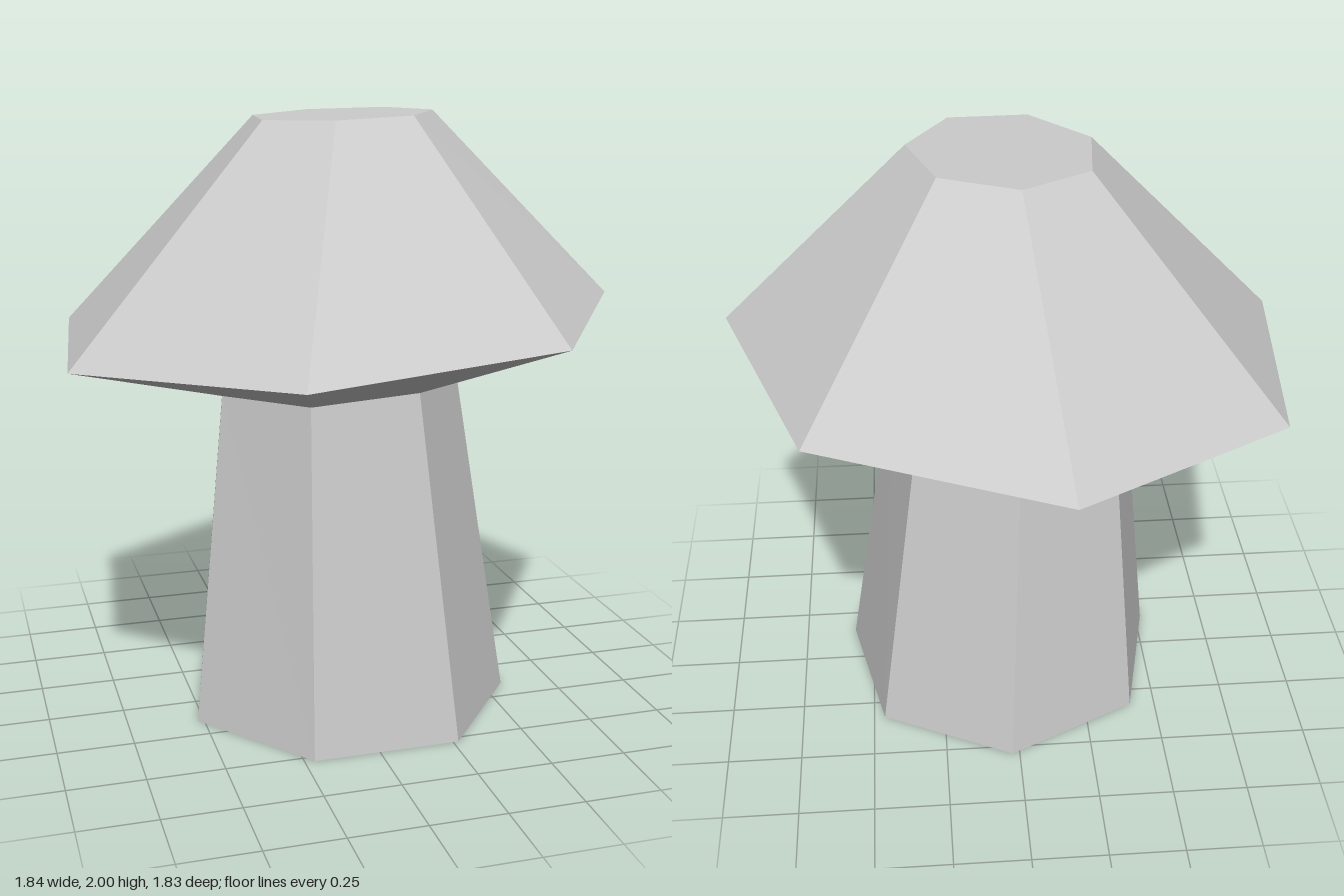
import * as THREE from 'three';

const SIDES = 7;

// Seven-sided rings: centre, radius, turn in degrees, and tilt (height gained per unit of x and z)
const foot = { x: 0.025, y: 0, z: 0.025, r: 0.56, turn: 12.86, tiltX: 0, tiltZ: 0 };
const neck = { x: -0.012, y: 1.136, z: 0.026, r: 0.408, turn: 12.86, tiltX: 0.063, tiltZ: 0 };
const rim = { x: -0.024, y: 1.327, z: 0.02, r: 0.947, turn: 6.6, tiltX: 0.066, tiltZ: -0.006 };
const crown = { x: 0.013, y: 1.989, z: 0.027, r: 0.299, turn: 6.4, tiltX: 0.035, tiltZ: 0 };

function ringPoint(ring, i) {
  const a = THREE.MathUtils.degToRad(ring.turn) + (i / SIDES) * Math.PI * 2;
  const x = ring.x + ring.r * Math.cos(a);
  const z = ring.z + ring.r * Math.sin(a);
  return [x, ring.y + ring.tiltX * x + ring.tiltZ * z, z];
}

// Joins rings from bottom to top, closing the chosen ends with a flat fan
function loft(name, rings, closeBottom, closeTop) {
  const pos = [];
  const first = rings[0];
  const last = rings[rings.length - 1];
  for (let i = 0; i < SIDES; i++) {
    for (let k = 0; k < rings.length - 1; k++) {
      const a = ringPoint(rings[k], i), a2 = ringPoint(rings[k], i + 1);
      const b = ringPoint(rings[k + 1], i), b2 = ringPoint(rings[k + 1], i + 1);
      pos.push(...a, ...b, ...b2, ...a, ...b2, ...a2);
    }
    if (i > 0 && i < SIDES - 1) {
      if (closeBottom) pos.push(...ringPoint(first, 0), ...ringPoint(first, i), ...ringPoint(first, i + 1));
      if (closeTop) pos.push(...ringPoint(last, 0), ...ringPoint(last, i + 1), ...ringPoint(last, i));
    }
  }
  const geometry = new THREE.BufferGeometry();
  geometry.setAttribute('position', new THREE.Float32BufferAttribute(pos, 3));
  geometry.computeVertexNormals();
  const mesh = new THREE.Mesh(geometry, new THREE.MeshStandardMaterial({ color: 0xcccccc, flatShading: true }));
  mesh.name = name;
  return mesh;
}

export function createModel() {
  const mushroom = new THREE.Group();
  mushroom.name = 'mushroom';
  // Tapered stem, open where it meets the cap
  mushroom.add(loft('stem', [foot, neck], true, false));
  // Tilted cap: sloping underside, rim and flat crown
  mushroom.add(loft('cap', [neck, rim, crown], false, true));
  return mushroom;
}
